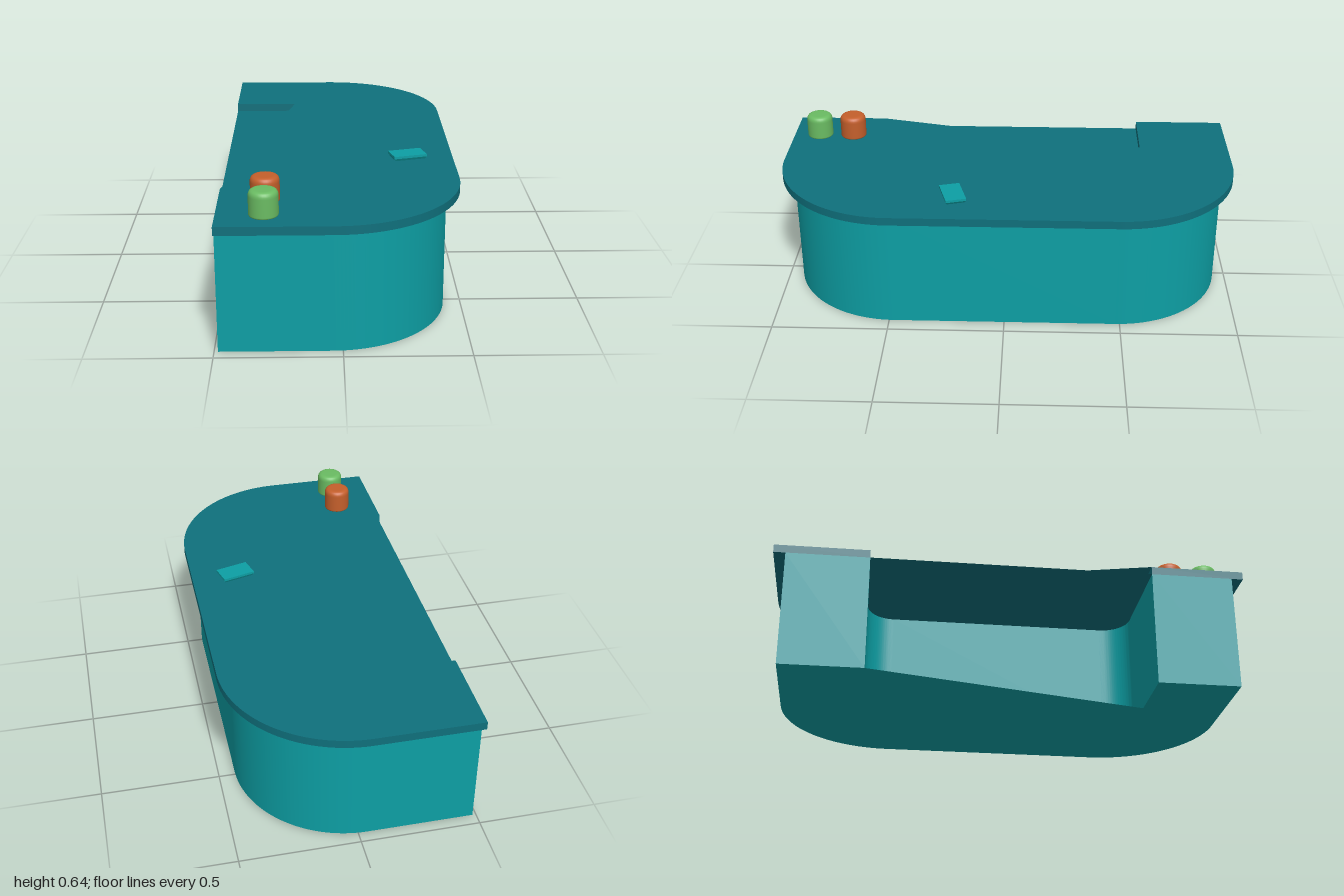
import * as THREE from 'three';
import { toCreasedNormals } from 'three/addons/utils/BufferGeometryUtils.js';

const BACK = -0.485;   // open side of the counter
const STEP = 0.6;      // half length of the recess
const INNER_X = 0.08;  // depth of the recess
const INNER_R = 0.12;

const mat = (name, color, side = THREE.FrontSide) => {
  const m = new THREE.MeshStandardMaterial({ color, side });
  m.name = name;
  return m;
};

// Rounded recess edge, drawn from -z to +z (shape y is model z)
function recess(path) {
  path.lineTo(INNER_X - INNER_R, -STEP);
  path.absarc(INNER_X - INNER_R, -STEP + INNER_R, INNER_R, -Math.PI / 2, 0, false);
  path.absarc(INNER_X - INNER_R, STEP - INNER_R, INNER_R, 0, Math.PI / 2, false);
}

// C-shaped footprint with two rounded outer corners
function counterShape(front, half, r) {
  const s = new THREE.Shape();
  s.moveTo(BACK, -STEP);
  recess(s);
  s.lineTo(BACK, STEP);
  s.lineTo(BACK, half);
  s.lineTo(front - r, half);
  s.absarc(front - r, half - r, r, Math.PI / 2, 0, true);
  s.absarc(front - r, -half + r, r, 0, -Math.PI / 2, true);
  s.lineTo(BACK, -half);
  s.closePath();
  return s;
}

// Sheet that covers the recess between two end points on its straight sides
function recessSheet(xStart, xEnd) {
  const s = new THREE.Shape();
  s.moveTo(xStart, -STEP);
  recess(s);
  s.lineTo(xEnd, STEP);
  s.closePath();
  return new THREE.ShapeGeometry(s, 24);
}

export function createModel() {
  const group = new THREE.Group();
  const teal = mat('teal', 0x0d9fa4, THREE.DoubleSide);
  const darkTeal = mat('darkTeal', 0x0f707c, THREE.DoubleSide);
  const green = mat('green', 0x6abb62);
  const orange = mat('orange', 0xc45f2b);

  const add = (name, geo, material, x = 0, y = 0, z = 0) => {
    const m = new THREE.Mesh(geo, material);
    m.name = name;
    m.position.set(x, y, z);
    group.add(m);
    return m;
  };
  const slab = (shape, depth) => toCreasedNormals(
    new THREE.ExtrudeGeometry(shape, { depth, bevelEnabled: false, curveSegments: 24 })
      .rotateX(Math.PI / 2), 0.5);
  // ShapeGeometry lying flat, facing down or up
  const flat = (geo) => geo.rotateX(Math.PI / 2);

  // Counter body and its floor
  add('counterBody', slab(counterShape(0.43, 0.95, 0.47), 0.505), teal, 0, 0.505, 0);
  add('counterFloor', flat(recessSheet(BACK, -0.205)), teal);

  // Worktop: rim, upper sheet with a slanted cutout, lower sheet
  add('worktop', slab(counterShape(0.485, 1, 0.52), 0.035), darkTeal, 0, 0.54, 0);
  add('worktopUpperSheet', flat(recessSheet(-0.205, BACK)), darkTeal, 0, 0.54, 0);
  add('worktopLowerSheet', flat(recessSheet(BACK, BACK)), darkTeal, 0, 0.505, 0);

  // Rounded cups
  const profile = new THREE.Path();
  profile.moveTo(0, 0);
  profile.lineTo(0.052, 0);
  profile.quadraticCurveTo(0.058, 0, 0.058, 0.008);
  profile.lineTo(0.058, 0.08);
  profile.quadraticCurveTo(0.058, 0.105, 0.034, 0.105);
  profile.lineTo(0, 0.105);
  const cup = new THREE.LatheGeometry(profile.getPoints(6), 32);
  add('greenCup', cup, green, -0.3, 0.54, 0.88);
  add('orangeCup', cup, orange, -0.3, 0.54, 0.725);

  // Small tray, narrower at the bottom
  const tray = new THREE.BoxGeometry(0.145, 0.021, 0.088, 1, 2, 1);
  const p = tray.attributes.position;
  for (let i = 0; i < p.count; i++) {
    if (p.getY(i) < -0.005) p.setXYZ(i, p.getX(i) * 0.9, p.getY(i), p.getZ(i) * 0.86);
  }
  tray.computeVertexNormals();
  add('tray', toCreasedNormals(tray, 0.3), teal, 0.29, 0.5515, 0.222).rotation.y = 0.27;

  return group;
}
